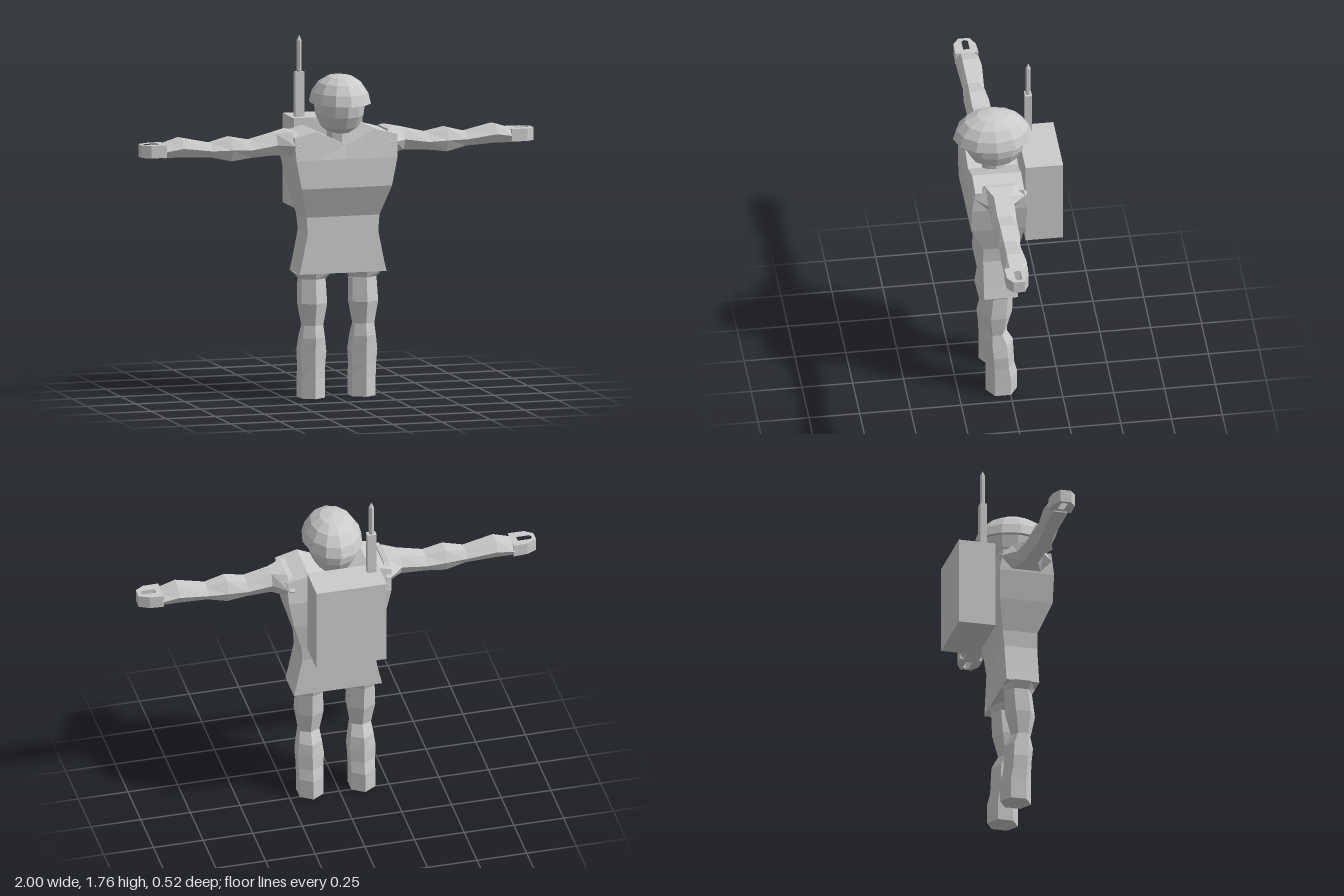
import * as THREE from 'three';

const material = new THREE.MeshStandardMaterial({ color: 0xcccccc, flatShading: true });
const CX = 0.015; // middle line of the body

function mesh(name, geometry, x = 0, y = 0, z = 0) {
  const m = new THREE.Mesh(geometry, material);
  m.name = name;
  m.position.set(x, y, z);
  return m;
}

// Closed skin through equal, even-sized loops that run counterclockwise seen from the last one
function loft(loops) {
  const n = loops[0].length, out = [];
  const quad = (a, b, c, d) => out.push(...a, ...b, ...c, ...a, ...c, ...d);
  for (let k = 0; k < loops.length - 1; k++) {
    const a = loops[k], b = loops[k + 1];
    for (let i = 0; i < n; i++) {
      const j = (i + 1) % n;
      quad(a[i], a[j], b[j], b[i]);
    }
  }
  const s = loops[0], e = loops[loops.length - 1];
  for (let i = 0; i < n / 2 - 1; i++) {
    quad(e[i], e[i + 1], e[n - 2 - i], e[n - 1 - i]);
    quad(s[n - 1 - i], s[n - 2 - i], s[i + 1], s[i]);
  }
  const g = new THREE.BufferGeometry();
  g.setAttribute('position', new THREE.Float32BufferAttribute(out, 3));
  g.computeVertexNormals();
  return g;
}

// Torso: box sections [y, half width, back z, front z]; the last one dips into a V neck
function torso() {
  const rows = [
    [0.62, 0.222, -0.03, 0.135], [0.68, 0.208, -0.03, 0.135], [0.82, 0.18, -0.03, 0.135],
    [0.9, 0.186, -0.04, 0.135], [1.05, 0.23, -0.065, 0.2], [1.19, 0.258, -0.073, 0.2],
    [1.3, 0.262, -0.055, 0.185],
  ];
  const across = [-1, -0.58, 0, 0.58, 1], dip = [0, 0.03, -0.04, 0.03, 0];
  return loft(rows.map(([y, w, back, front], r) => {
    const side = z => across.map((u, i) =>
      [CX + u * w, y + (r === rows.length - 1 ? dip[i] : 0), z]);
    return [...side(front), ...side(back).reverse()];
  }));
}

// Leg: six-sided sections [y, half width, back z, front z, shift outwards]
const legHex = [[1, 0.5], [0, 1], [-1, 0.5], [-1, -0.5], [0, -1], [1, -0.5]];
function leg(side) {
  const rows = [
    [0, 0.06, -0.04, 0.115], [0.1, 0.06, -0.04, 0.115], [0.16, 0.061, -0.025, 0.115],
    [0.23, 0.066, -0.022, 0.118], [0.3, 0.057, -0.018, 0.125], [0.36, 0.049, 0.015, 0.112],
    [0.47, 0.066, -0.015, 0.135], [0.59, 0.061, -0.02, 0.12], [0.622, 0.092, -0.03, 0.135],
  ];
  return loft(rows.map(([y, w, back, front]) => legHex.map(([u, v]) =>
    [CX - 0.005 + side * 0.13 + u * w, y, (front + back) / 2 - v * (front - back) / 2])));
}

// Arm: six-sided sections [distance out, low y, high y, back z, front z]
const armHex = [[1, 0], [0.55, 1], [-0.55, 1], [-1, 0], [-0.55, -1], [0.55, -1]];
const outX = (side, s) => side * s + CX * (1 - s);
function arm(side) {
  const rows = [
    [0.23, 1.2, 1.32, -0.075, 0.195], [0.255, 1.2, 1.325, -0.07, 0.19],
    [0.325, 1.21, 1.315, 0.0, 0.13], [0.45, 1.203, 1.285, 0.005, 0.128],
    [0.55, 1.19, 1.305, 0.005, 0.13], [0.65, 1.213, 1.28, 0.015, 0.12],
    [0.8, 1.222, 1.312, 0.005, 0.13], [0.89, 1.22, 1.285, 0.008, 0.125],
  ];
  return loft(rows.map(([s, lo, hi, back, front]) => {
    const loop = armHex.map(([u, v]) => [outX(side, s),
      (lo + hi) / 2 + v * (hi - lo) / 2, (front + back) / 2 - u * (front - back) / 2]);
    return side > 0 ? loop : loop.reverse();
  }));
}

// Hand: flat mitt with a slot right through it
function hand(side) {
  const points = list => list.map(([x, z]) => new THREE.Vector2(side * x, z));
  const shape = new THREE.Shape(points(
    [[0.88, 0.01], [0.95, 0.015], [1, 0.04], [1, 0.095], [0.96, 0.123], [0.88, 0.125]]));
  shape.holes.push(new THREE.Path(points(
    [[0.91, 0.05], [0.975, 0.05], [0.985, 0.065], [0.975, 0.082], [0.91, 0.082]])));
  const g = new THREE.ExtrudeGeometry(shape, { depth: 0.062, bevelEnabled: false });
  return g.rotateX(Math.PI / 2).translate(0, 1.288, 0);
}

// Round part from a profile, stretched front to back
function oval(profile, stretch, sides) {
  const g = new THREE.LatheGeometry(profile.map(p => new THREE.Vector2(...p)), sides);
  return g.scale(1, 1, stretch);
}

export function createModel() {
  const model = new THREE.Group();
  model.name = 'soldier';
  model.add(mesh('torso', torso()));

  for (const side of [1, -1]) {
    const label = side > 0 ? 'left' : 'right';
    model.add(
      mesh(label + 'Leg', leg(side)),
      mesh(label + 'Arm', arm(side)),
      mesh(label + 'Hand', hand(side)),
    );
  }

  // Neck, head and helmet
  model.add(
    mesh('neck', new THREE.CylinderGeometry(0.06, 0.06, 0.14, 8), CX, 1.28, 0.055),
    mesh('head', oval([[0, 1.3], [0.05, 1.305], [0.092, 1.335], [0.116, 1.39],
      [0.125, 1.455], [0, 1.458]], 1.26, 12), 0.02, 0, 0.055),
    mesh('helmet', oval([[0, 1.453], [0.148, 1.453], [0.135, 1.505], [0.105, 1.55],
      [0.06, 1.58], [0, 1.592]], 1.32, 12), 0.021, 0, 0.065),
  );

  // Backpack with its aerial
  const aerial = new THREE.Group();
  aerial.name = 'aerial';
  aerial.position.set(-0.127, 0, -0.13);
  aerial.add(
    mesh('aerialBase', new THREE.BoxGeometry(0.046, 0.31, 0.034), 0, 1.425, 0),
    mesh('aerialRod', new THREE.CylinderGeometry(0.013, 0.013, 0.155, 6), 0, 1.6575, 0),
    mesh('aerialTip', new THREE.ConeGeometry(0.013, 0.027, 6), 0, 1.7485, 0),
  );
  model.add(mesh('backpack', new THREE.BoxGeometry(0.352, 0.44, 0.185), 0.005, 1.14, -0.168), aerial);
  return model;
}
